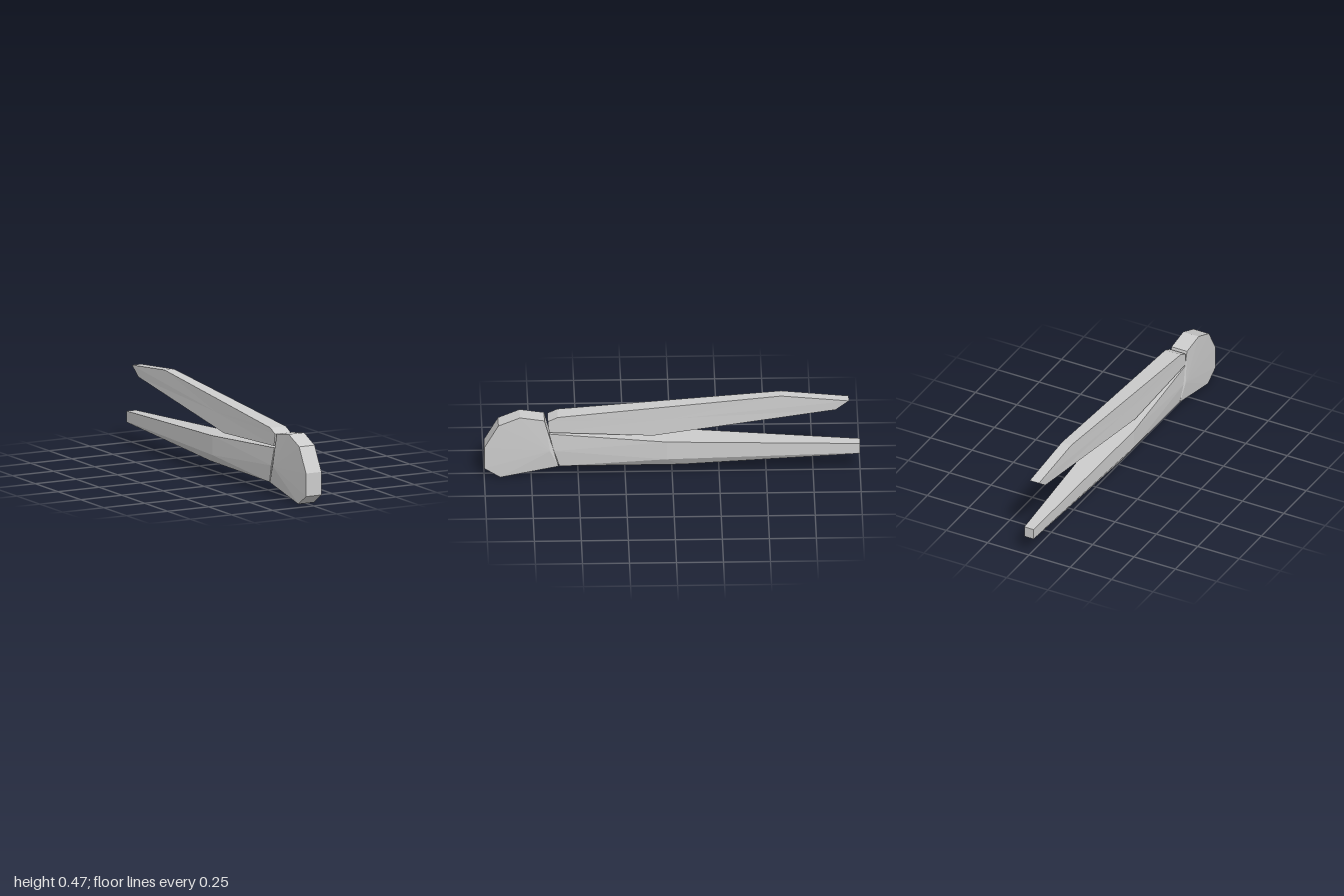
import * as THREE from 'three';

const material = new THREE.MeshStandardMaterial({ color: 0xcccccc, flatShading: true });

function facetedMesh(name, points) {
  const geometry = new THREE.BufferGeometry().setFromPoints(points);
  geometry.computeVertexNormals();
  const mesh = new THREE.Mesh(geometry, material);
  mesh.name = name;
  return mesh;
}

// Each station is [z, y, half width]; side is +1 (left) or -1 (right)
const corner = ([z, y, w], side) => new THREE.Vector3(side * w, y, z);

// Slab with a side outline, tapering in width, its sides fanned from a hub
function slab(name, outline, hub) {
  const tris = [];
  outline.forEach((p, i) => {
    const q = outline[(i + 1) % outline.length];
    const [pl, ql, pr, qr] = [corner(p, 1), corner(q, 1), corner(p, -1), corner(q, -1)];
    tris.push(pl, ql, qr, pl, qr, pr);
    tris.push(corner(hub, 1), ql, pl, corner(hub, -1), pr, qr);
  });
  return facetedMesh(name, tris);
}

// Six-sided bar through sections, each given as top, side and bottom stations
function bar(name, sections) {
  const rings = sections.map(s => [
    ...s.map(p => corner(p, 1)),
    ...s.slice().reverse().map(p => corner(p, -1)),
  ]);
  const tris = [];
  for (let i = 0; i < rings.length - 1; i++) {
    for (let k = 0; k < 6; k++) {
      const n = (k + 1) % 6;
      const [a, b, c, d] = [rings[i][k], rings[i][n], rings[i + 1][n], rings[i + 1][k]];
      // mirrored diagonals on the two sides
      if (k < 3) tris.push(a, b, d, b, c, d);
      else tris.push(a, b, c, a, c, d);
    }
  }
  const first = rings[0], last = rings[rings.length - 1];
  for (let k = 1; k < 5; k++) {
    tris.push(first[0], first[k + 1], first[k], last[0], last[k], last[k + 1]);
  }
  return facetedMesh(name, tris);
}

export function createModel() {
  const model = new THREE.Group();
  model.name = 'hingedTool';

  // Rounded head at the front
  model.add(slab('head', [
    [0.915, 0, 0.047], [1, 0.055, 0.047], [1, 0.18, 0.047], [0.925, 0.312, 0.047],
    [0.81, 0.36, 0.047], [0.68, 0.34, 0.047], [0.605, 0.063, 0.047],
  ], [0.65, 0.16, 0.055]));

  // Slim raised arm with a pointed end
  model.add(slab('upperArm', [
    [0.655, 0.27, 0.05], [0.662, 0.335, 0.048], [0.61, 0.36, 0.047],
    [-0.58, 0.465, 0.029], [-0.94, 0.43, 0.028], [-0.87, 0.378, 0.029], [0.1, 0.243, 0.046],
  ], [0, 0.34, 0.04]));

  // Lower arm, widest in the middle
  model.add(bar('lowerArm', [
    [[0.655, 0.26, 0.048], [0.63, 0.16, 0.053], [0.6, 0.065, 0.047]],
    [[0.03, 0.22, 0.078], [0.03, 0.115, 0.078], [-0.05, 0.066, 0.045]],
    [[-1, 0.17, 0.028], [-1, 0.114, 0.028], [-1, 0.11, 0.028]],
  ]));

  return model;
}
